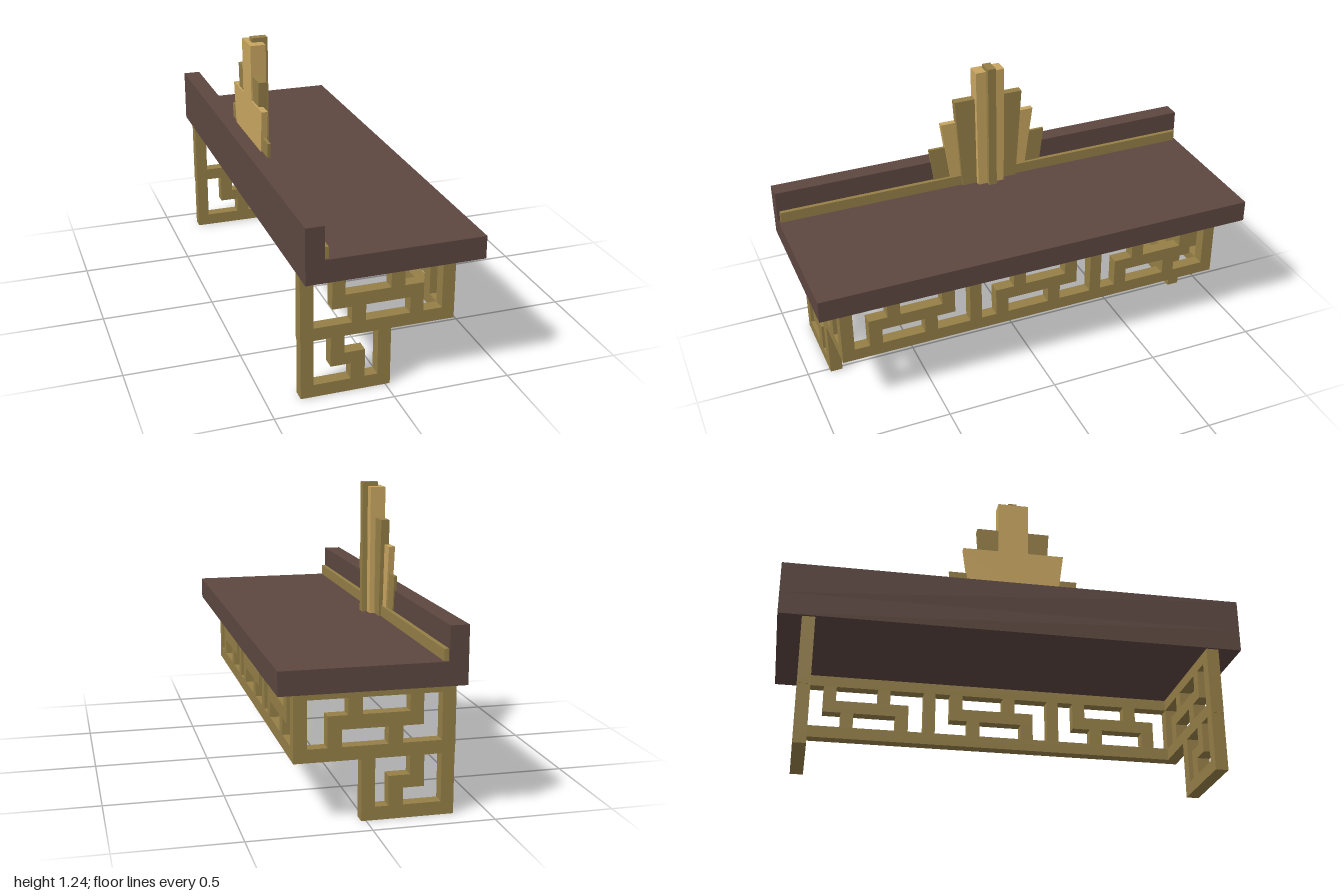
import * as THREE from 'three';

const wood = new THREE.MeshStandardMaterial({ color: 0x5d4740, flatShading: true });
const bronze = new THREE.MeshStandardMaterial({ color: 0x957f47, flatShading: true });
const gold = new THREE.MeshStandardMaterial({ color: 0xc8a660, flatShading: true });

// Box given by its limits on each axis
function block(name, material, x0, x1, y0, y1, z0, z1) {
  const mesh = new THREE.Mesh(new THREE.BoxGeometry(x1 - x0, y1 - y0, z1 - z0), material);
  mesh.position.set((x0 + x1) / 2, (y0 + y1) / 2, (z0 + z1) / 2);
  mesh.name = name;
  return mesh;
}

// Upright plate that widens towards the top, facing +x
function fanPlate(name, material, x0, x1, bottomHalf, topHalf, top) {
  const base = 0.65;
  const shape = new THREE.Shape([
    new THREE.Vector2(-bottomHalf, base), new THREE.Vector2(bottomHalf, base),
    new THREE.Vector2(topHalf, top), new THREE.Vector2(-topHalf, top),
  ]);
  const geometry = new THREE.ExtrudeGeometry(shape, { depth: x1 - x0, bevelEnabled: false });
  geometry.rotateY(Math.PI / 2);
  const mesh = new THREE.Mesh(geometry, material);
  mesh.position.x = x0;
  mesh.name = name;
  return mesh;
}

// Lattice bars of one end: [x0, x1, y0, y1]
const endBars = [
  // upper frame
  [-0.362, 0.292, 0.505, 0.555], [-0.362, 0.292, 0.255, 0.31],
  [-0.362, -0.307, 0.31, 0.505], [0.238, 0.292, 0.31, 0.505],
  // upper fret
  [-0.23, 0.157, 0.38, 0.437], [-0.23, -0.175, 0.437, 0.505], [0.017, 0.075, 0.437, 0.505],
  [-0.147, -0.088, 0.31, 0.38], [0.1, 0.157, 0.31, 0.38],
  // leg frame
  [-0.36, 0.02, 0, 0.055], [-0.36, -0.307, 0.055, 0.255], [-0.035, 0.02, 0.055, 0.255],
  // leg fret
  [-0.235, -0.09, 0.125, 0.178], [-0.235, -0.177, 0.178, 0.255], [-0.15, -0.09, 0.055, 0.125],
];

// One fret motif of the apron, along z: [z0, z1, y0, y1]
const apronMotif = [
  [-0.195, 0.195, 0.38, 0.437], [0.053, 0.11, 0.437, 0.505], [-0.195, -0.137, 0.437, 0.505],
  [0.137, 0.195, 0.31, 0.38], [-0.113, -0.055, 0.31, 0.38],
];

export function createModel() {
  const model = new THREE.Group();
  model.name = 'consoleTable';

  // Top, back board and its trim strip
  model.add(block('tableTop', wood, -0.372, 0.372, 0.555, 0.652, -1, 1));
  model.add(block('backBoard', wood, -0.372, -0.295, 0.652, 0.792, -1, 1));
  model.add(block('trimStrip', bronze, -0.295, -0.276, 0.652, 0.7, -0.99, 0.99));

  // Lattice ends with legs
  for (const side of [1, -1]) {
    const end = new THREE.Group();
    end.name = side > 0 ? 'frontEndLattice' : 'backEndLattice';
    for (const [x0, x1, y0, y1] of endBars) {
      end.add(block('endBar', bronze, x0, x1, y0, y1, -0.0275, 0.0275));
    }
    end.position.z = side * 0.8725;
    model.add(end);
  }

  // Long lattice apron between the ends
  const apron = new THREE.Group();
  apron.name = 'apronLattice';
  const addBar = (z0, z1, y0, y1) =>
    apron.add(block('apronBar', bronze, 0.238, 0.292, y0, y1, z0, z1));
  addBar(-0.845, 0.845, 0.505, 0.555);
  addBar(-0.845, 0.845, 0.255, 0.31);
  for (const z of [-0.29, 0.29]) addBar(z - 0.027, z + 0.027, 0.31, 0.505);
  for (const offset of [-0.582, 0, 0.582]) {
    for (const [z0, z1, y0, y1] of apronMotif) addBar(z0 + offset, z1 + offset, y0, y1);
  }
  model.add(apron);

  // Stepped fan ornament
  const fan = new THREE.Group();
  fan.name = 'fanOrnament';
  fan.add(fanPlate('outerPlate', bronze, -0.303, -0.29, 0.26, 0.285, 0.857));
  fan.add(fanPlate('secondPlate', gold, -0.31, -0.283, 0.18, 0.225, 0.977));
  fan.add(fanPlate('thirdPlate', bronze, -0.303, -0.266, 0.133, 0.162, 1.086));
  fan.add(fanPlate('centreColumn', gold, -0.31, -0.243, 0.063, 0.068, 1.222));
  fan.add(fanPlate('centreRib', bronze, -0.29, -0.22, 0.019, 0.019, 1.241));
  model.add(fan);

  return model;
}
